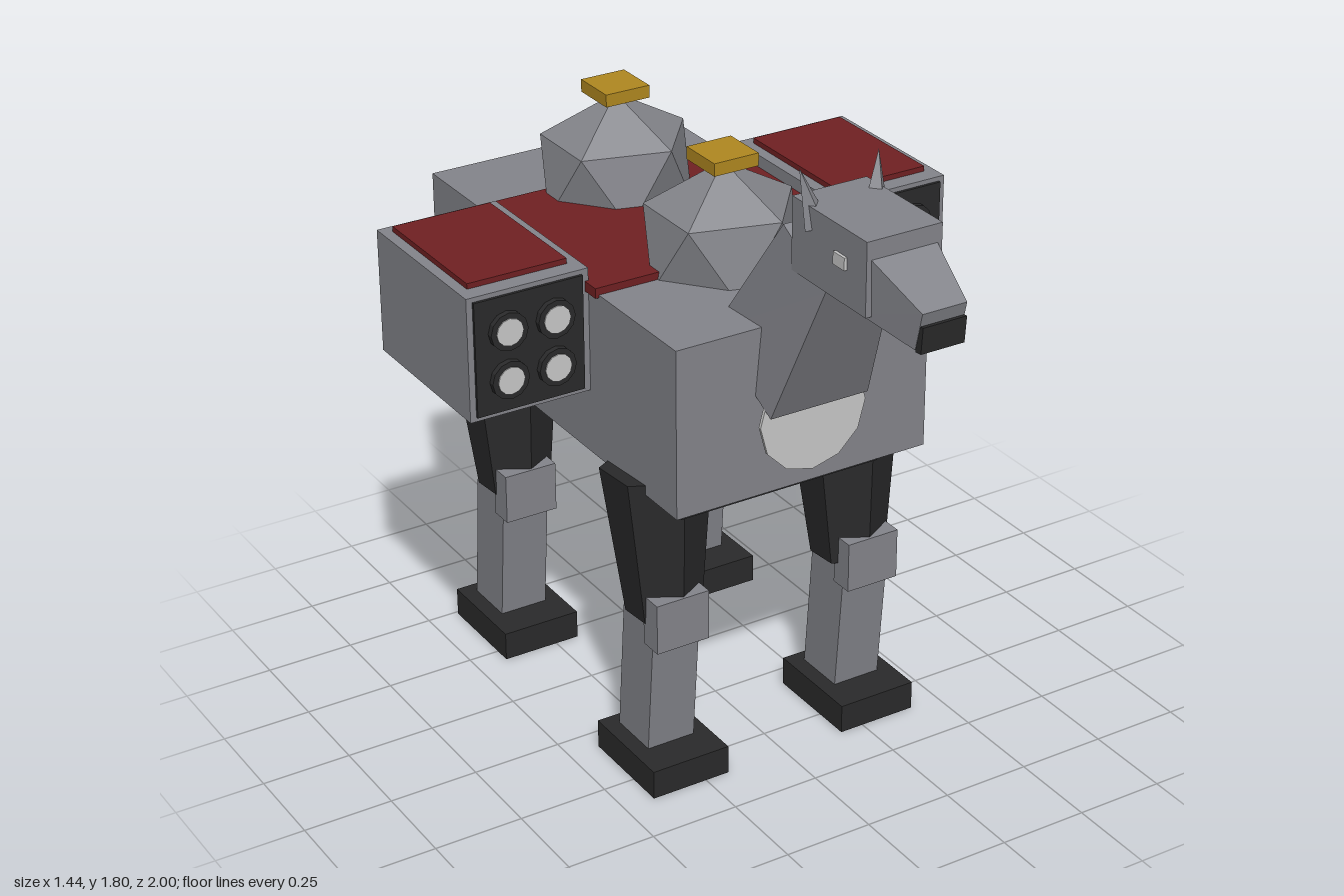
import * as THREE from 'three';

const paint = (name, color) => {
  const m = new THREE.MeshStandardMaterial({ color });
  m.name = name;
  m.flatShading = true;
  return m;
};

export function createModel() {
  const grey = paint('grey plating', 0x84858b);
  const dark = paint('dark metal', 0x2a2a2b);
  const red = paint('red cloth', 0x702022);
  const gold = paint('gold', 0xb08820);
  const light = paint('light grey', 0xc8c8c8);

  const model = new THREE.Group();
  model.name = 'armouredCamel';

  const add = (name, geometry, material, x = 0, y = 0, z = 0, parent = model) => {
    const mesh = new THREE.Mesh(geometry, material);
    mesh.name = name;
    mesh.position.set(x, y, z);
    parent.add(mesh);
    return mesh;
  };

  // Box given by its limits on each axis
  const block = (name, material, [x0, x1], [y0, y1], [z0, z1], parent = model) =>
    add(name, new THREE.BoxGeometry(x1 - x0, y1 - y0, z1 - z0), material,
      (x0 + x1) / 2, (y0 + y1) / 2, (z0 + z1) / 2, parent);

  // Tapered block: each side-view corner is [z, y, half width]
  const wedge = (name, material, frontTop, backTop, backBottom, frontBottom) => {
    const g = new THREE.BoxGeometry(1, 1, 1);
    const p = g.attributes.position;
    for (let i = 0; i < p.count; i++) {
      const front = p.getZ(i) > 0;
      const c = p.getY(i) > 0 ? (front ? frontTop : backTop) : (front ? frontBottom : backBottom);
      p.setXYZ(i, Math.sign(p.getX(i)) * c[2], c[1], c[0]);
    }
    g.computeVertexNormals();
    return add(name, g, material);
  };

  const disc = (name, material, radius, depth, sides, x, y, z, parent = model) =>
    add(name, new THREE.CylinderGeometry(radius, radius, depth, sides).rotateX(Math.PI / 2),
      material, x, y, z, parent);

  // Trunk
  block('body', grey, [-0.375, 0.375], [0.86, 1.33], [-0.85, 0.42]);
  block('bellyPlate', dark, [-0.3, 0.3], [0.79, 0.862], [-0.75, 0.32]);
  block('saddleBlanket', red, [-0.385, 0.385], [1.322, 1.35], [-0.557, 0.05]);
  disc('chestDisc', light, 0.157, 0.009, 12, 0, 1.075, 0.459);
  disc('rumpDisc', light, 0.147, 0.009, 16, 0, 1.08, -0.887);

  // Faceted humps with gold caps: icosahedron standing on a vertex
  for (const z of [0.035, -0.5]) {
    const g = new THREE.IcosahedronGeometry(1, 0);
    const tip = new THREE.Vector3(0, 1, (1 + Math.sqrt(5)) / 2).normalize();
    const up = new THREE.Vector3(0, 1, 0);
    g.applyQuaternion(new THREE.Quaternion().setFromUnitVectors(tip, up));
    // turn one upper vertex towards +x
    const p = g.attributes.position;
    for (let i = 0; i < p.count; i++) {
      if (p.getY(i) > 0.3 && p.getY(i) < 0.6) {
        g.rotateY(Math.atan2(p.getZ(i), p.getX(i)));
        break;
      }
    }
    g.scale(0.235, 0.215, 0.21);
    g.computeVertexNormals();
    add('hump', g, grey, 0, 1.39, z);
    block('humpCap', gold, [-0.066, 0.066], [1.6, 1.635], [z - 0.066, z + 0.066]);
  }

  // Neck and head
  wedge('neck', grey, [0.656, 1.515, 0.1], [0.469, 1.62, 0.1], [0.222, 1.245, 0.145], [0.49, 1.11, 0.145]);
  block('head', grey, [-0.107, 0.107], [1.52, 1.715], [0.517, 0.832]);
  wedge('muzzle', grey, [0.997, 1.587, 0.063], [0.82, 1.672, 0.096], [0.79, 1.512, 0.096], [0.972, 1.485, 0.063]);
  wedge('nose', dark, [1.0, 1.553, 0.062], [0.975, 1.55, 0.062], [0.972, 1.48, 0.062], [0.994, 1.482, 0.062]);

  // Tail
  wedge('tail', dark, [-0.853, 1.18, 0.026], [-0.885, 1.19, 0.026], [-1.0, 0.785, 0.017], [-0.97, 0.775, 0.017]);

  for (const s of [1, -1]) {
    const span = (a, b) => (s > 0 ? [a, b] : [-b, -a]);

    // Eye and ear
    block('eye', light, span(0.107, 0.115), [1.612, 1.645], [0.704, 0.752]);
    const ear = add('ear', new THREE.ConeGeometry(0.036, 0.15, 4), grey, s * 0.099, 1.73, 0.573);
    ear.rotation.set(-0.24, 0, -s * 0.2);

    // Side launcher box with a panel of four nozzles
    const launcher = new THREE.Group();
    launcher.name = 'launcher';
    model.add(launcher);
    block('launcherBox', grey, span(0.375, 0.722), [1.04, 1.385], [-0.488, -0.002], launcher);
    block('launcherLid', red, span(0.408, 0.692), [1.38, 1.4], [-0.457, -0.052], launcher);
    block('launcherPanel', dark, span(0.395, 0.705), [1.053, 1.372], [-0.01, 0.006], launcher);
    for (const x of [0.48, 0.615]) {
      for (const y of [1.143, 1.278]) {
        disc('nozzleRing', dark, 0.053, 0.03, 12, s * x, y, 0.007, launcher);
        disc('nozzle', light, 0.038, 0.006, 12, s * x, y, 0.022, launcher);
      }
    }

    // Front and hind legs
    for (const z of [0.21, -0.595]) {
      const leg = new THREE.Group();
      leg.name = z > 0 ? 'frontLeg' : 'hindLeg';
      leg.position.set(s * 0.296, 0, z);
      model.add(leg);
      const thigh = add('thigh', new THREE.CylinderGeometry(0.145, 0.1, 0.41, 6), dark,
        -s * 0.007, 0.675, -0.018, leg);
      thigh.rotation.x = -0.085;
      const shin = add('shin', new THREE.BoxGeometry(0.14, 0.44, 0.15), grey, 0, 0.29, -0.015, leg);
      shin.rotation.x = 0.085;
      block('kneeCap', grey, [-0.078, 0.078], [0.412, 0.555], [0.04, 0.108], leg);
      block('foot', dark, [-0.115, 0.115], [0, 0.082], [-0.145, 0.145], leg);
    }
  }

  return model;
}
